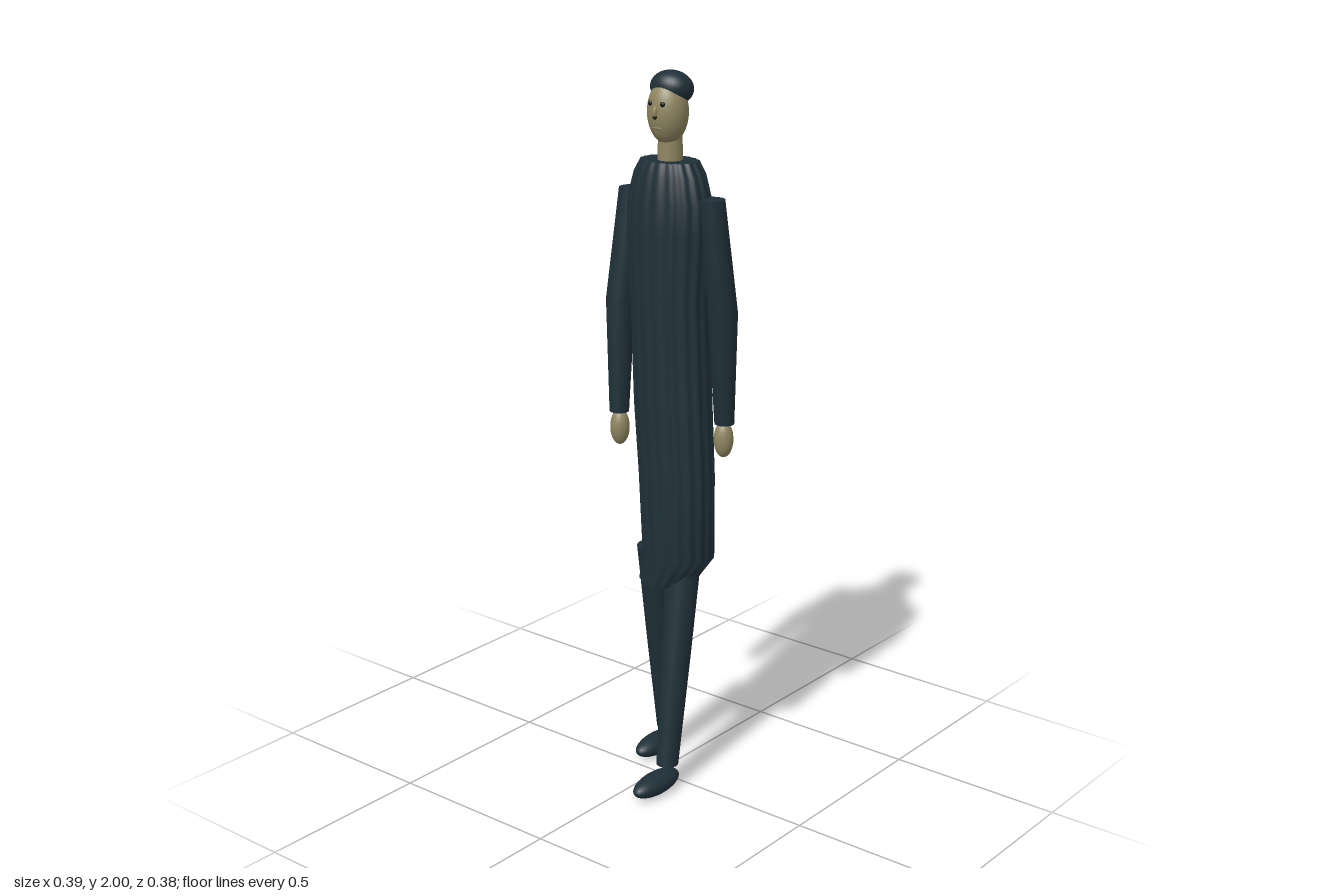
import * as THREE from 'three';

const mat = (color) => new THREE.MeshStandardMaterial({ color });

export function createModel() {
  const model = new THREE.Group();
  const cloth = mat(0x1f2f38), skin = mat(0x8f8560), dark = mat(0x16191c);

  const add = (name, geometry, material, parent = model) => {
    const mesh = new THREE.Mesh(geometry, material);
    mesh.name = name;
    parent.add(mesh);
    return mesh;
  };

  const ellipsoid = (name, centre, radii, material, parent) => {
    const mesh = add(name, new THREE.SphereGeometry(1, 32, 20), material, parent);
    mesh.position.set(...centre);
    mesh.scale.set(...radii);
    return mesh;
  };

  // Tapered tube with level ends: each section is [x, y, z, radius]
  const limb = (name, sections, parent) => {
    const rows = sections.length - 1;
    const g = new THREE.CylinderGeometry(1, 1, 1, 28, rows);
    const p = g.attributes.position;
    for (let i = 0; i < p.count; i++) {
      const [x, y, z, r] = sections[Math.round((0.5 - p.getY(i)) * rows)];
      p.setXYZ(i, x + p.getX(i) * r, y, z + p.getZ(i) * r);
    }
    g.computeVertexNormals();
    return add(name, g, cloth, parent);
  };

  // Long pleated coat: [height, centre x, half width, centre z, half depth]
  const coatRings = [
    [1.766, 0, 0.085, -0.052, 0.062],
    [1.73, 0, 0.106, -0.052, 0.074],
    [1.66, 0, 0.126, -0.052, 0.084],
    [1.58, 0, 0.128, -0.052, 0.088],
    [1.4, 0, 0.116, -0.053, 0.086],
    [1.1, 0.012, 0.117, -0.053, 0.085],
    [0.9, 0.025, 0.114, -0.053, 0.084],
    [0.67, 0.032, 0.107, -0.053, 0.083],
    [0.585, -0.002, 0.078, -0.05, 0.08],
  ];
  const coat = new THREE.CylinderGeometry(1, 1, 1, 128, coatRings.length - 1);
  const p = coat.attributes.position;
  for (let i = 0; i < p.count; i++) {
    const row = Math.round((0.5 - p.getY(i)) * (coatRings.length - 1));
    const [y, cx, rx, cz, rz] = coatRings[row];
    const angle = Math.atan2(p.getZ(i), p.getX(i));
    const pleat = 1 + 0.025 * Math.cos(18 * angle);
    p.setXYZ(i, cx + p.getX(i) * rx * pleat, y, cz + p.getZ(i) * rz * pleat);
  }
  coat.computeVertexNormals();
  add('coat', coat, cloth);

  // Head, neck and face
  const head = new THREE.Group();
  head.name = 'head';
  model.add(head);
  add('neck', new THREE.CylinderGeometry(0.032, 0.034, 0.12, 24), skin, head).position.set(0, 1.8, -0.053);
  ellipsoid('face', [0, 1.893, -0.043], [0.056, 0.086, 0.053], skin, head);
  const hair = ellipsoid('hair', [0, 1.953, -0.06], [0.061, 0.045, 0.052], cloth, head);
  hair.rotation.x = -0.35;
  ellipsoid('nose', [0, 1.895, 0.008], [0.007, 0.018, 0.009], skin, head);
  ellipsoid('nostrils', [0, 1.885, 0.011], [0.006, 0.007, 0.005], dark, head);
  ellipsoid('mouth', [0, 1.855, 0.003], [0.014, 0.003, 0.003], skin, head);
  for (const s of [1, -1])
    ellipsoid('eye', [s * 0.02, 1.918, 0.004], [0.007, 0.007, 0.005], dark, head);

  // Limbs in mid stride: left leg and right arm swing forward
  for (const s of [1, -1]) {
    const side = s > 0 ? 'left' : 'right';

    const elbowZ = s > 0 ? -0.083 : -0.033;
    const wristZ = s > 0 ? -0.105 : -0.015;
    const arm = new THREE.Group();
    arm.name = side + 'Arm';
    model.add(arm);
    limb('sleeve', [
      [s * 0.135, 1.676, -0.058, 0.035],
      [s * 0.156, 1.37, elbowZ, 0.04],
      [s * 0.148, 1.055, wristZ, 0.027],
    ], arm);
    ellipsoid('hand', [s * 0.146, 1.01, wristZ], [0.027, 0.051, 0.027], skin, arm);

    const ankleZ = s > 0 ? 0.048 : -0.14;
    const leg = new THREE.Group();
    leg.name = side + 'Leg';
    model.add(leg);
    limb('trouserLeg', [
      [s * 0.053, 0.67, -0.052, 0.049],
      [s * 0.064, 0.37, (ankleZ - 0.052) / 2, 0.041],
      [s * 0.075, 0.07, ankleZ, 0.031],
    ], leg);
    ellipsoid('shoe', [s * 0.077, 0.03, s > 0 ? 0.1 : -0.097], [0.038, 0.03, 0.091], cloth, leg);
  }

  return model;
}
